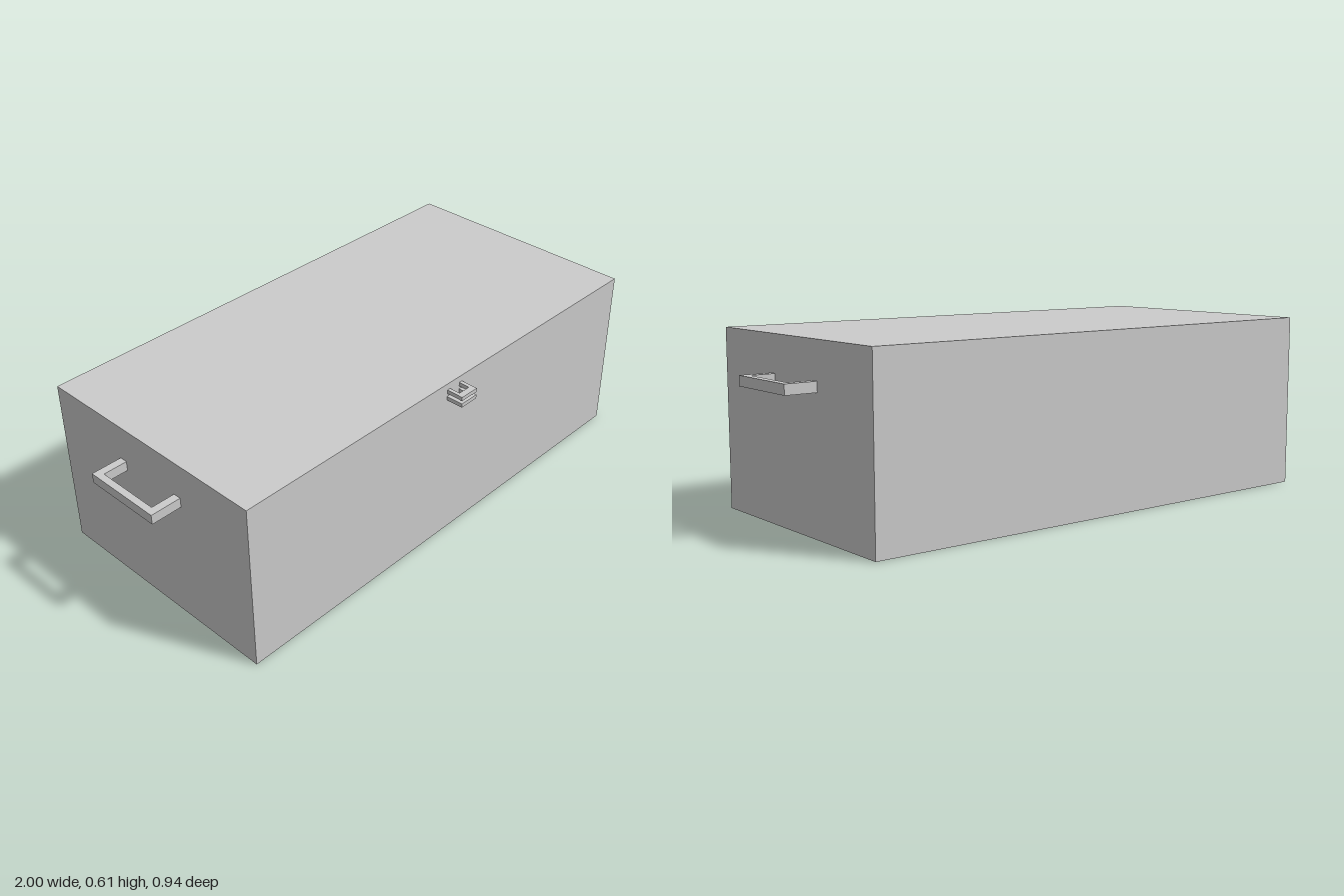
import * as THREE from 'three';

const BODY = { width: 1.784, height: 0.605, back: -0.472, front: 0.411 };

export function createModel() {
  const group = new THREE.Group();
  const material = new THREE.MeshStandardMaterial({ color: 0xcccccc, flatShading: true });

  // Square U-shaped bracket, open towards -z, centred on x and y
  function bracket(name, width, reach, height, leg, bar) {
    const w = width / 2;
    const shape = new THREE.Shape([
      [-w, 0], [-w + leg, 0], [-w + leg, reach - bar], [w - leg, reach - bar],
      [w - leg, 0], [w, 0], [w, reach], [-w, reach],
    ].map(([x, y]) => new THREE.Vector2(x, y)));
    const geometry = new THREE.ExtrudeGeometry(shape, { depth: height, bevelEnabled: false });
    geometry.translate(0, 0, -height / 2).rotateX(Math.PI / 2);
    const mesh = new THREE.Mesh(geometry, material);
    mesh.name = name;
    group.add(mesh);
    return mesh;
  }

  // Chest body
  const depth = BODY.front - BODY.back;
  const body = new THREE.Mesh(new THREE.BoxGeometry(BODY.width, BODY.height, depth), material);
  body.name = 'chestBody';
  body.position.set(0, BODY.height / 2, (BODY.front + BODY.back) / 2);
  group.add(body);

  // Carrying handles on both ends
  for (const [name, side] of [['leftHandle', 1], ['rightHandle', -1]]) {
    const handle = bracket(name, 0.283, 1 - BODY.width / 2, 0.034, 0.028, 0.024);
    handle.position.set(side * BODY.width / 2, 0.464, -0.029);
    handle.rotation.y = side * Math.PI / 2;
  }

  // Pair of lock staples on the front
  for (const [name, y] of [['upperLockStaple', 0.575], ['lowerLockStaple', 0.55]]) {
    bracket(name, 0.072, 0.061, 0.014, 0.013, 0.022).position.set(0, y, BODY.front);
  }

  return group;
}
